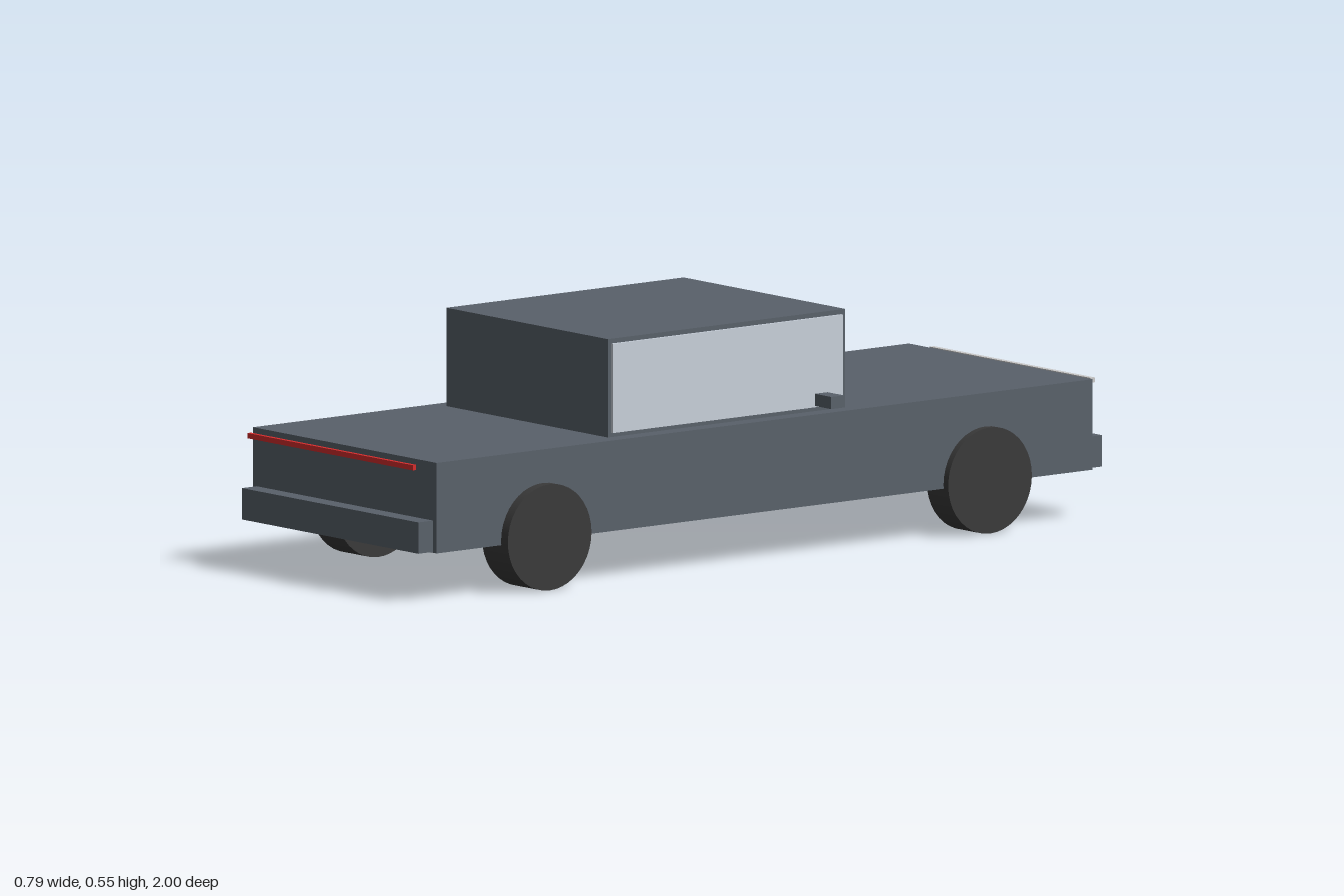
import * as THREE from 'three';

const mat = (color) => new THREE.MeshStandardMaterial({ color });

export function createModel() {
  const car = new THREE.Group();
  car.name = 'car';
  const paint = mat(0x59616a), rubber = mat(0x3a3a3a), glass = mat(0xc8d0da);
  const red = mat(0xd62c2c), white = mat(0xe6e6e6), dark = mat(0x3c3c3c);

  // Box given by its extents on each axis
  function box(name, material, [x0, x1], [y0, y1], [z0, z1]) {
    const mesh = new THREE.Mesh(new THREE.BoxGeometry(x1 - x0, y1 - y0, z1 - z0), material);
    mesh.position.set((x0 + x1) / 2, (y0 + y1) / 2, (z0 + z1) / 2);
    mesh.name = name;
    car.add(mesh);
  }

  // Wheel lying across the car
  function wheel(name, x, z, width) {
    const geometry = new THREE.CylinderGeometry(0.122, 0.122, width, 40).rotateZ(Math.PI / 2);
    const mesh = new THREE.Mesh(geometry, rubber);
    mesh.position.set(x, 0.122, z);
    mesh.name = name;
    car.add(mesh);
  }

  // Main body and cabin
  box('body', paint, [-0.331, 0.331], [0.113, 0.321], [-0.957, 0.957]);
  box('cabin', paint, [-0.291, 0.291], [0.321, 0.547], [-0.268, 0.425]);

  // Bumpers, light bars and grille at the two ends
  box('tailBumper', paint, [-0.318, 0.318], [0.115, 0.187], [0.95, 1]);
  box('noseBumper', paint, [-0.318, 0.318], [0.115, 0.187], [-0.996, -0.95]);
  box('tailLightBar', red, [-0.298, 0.298], [0.304, 0.316], [0.99, 1]);
  box('headLightBar', white, [-0.29, 0.29], [0.305, 0.316], [-0.998, -0.985]);
  box('grille', dark, [-0.22, 0.22], [0.165, 0.216], [-1, -0.982]);

  // Mirrored side parts
  for (const [side, s] of [['left', 1], ['right', -1]]) {
    const span = (a, b) => (s > 0 ? [a, b] : [-b, -a]);
    box(side + 'Window', glass, span(0.285, 0.298), [0.331, 0.536], [-0.256, 0.416]);
    box(side + 'Mirror', paint, span(0.336, 0.395), [0.342, 0.37], [-0.18, -0.143]);
    wheel(side + 'TailWheel', s * 0.309, 0.647, 0.093);
    wheel(side + 'NoseWheel', s * 0.309, -0.645, 0.078);
  }
  return car;
}
